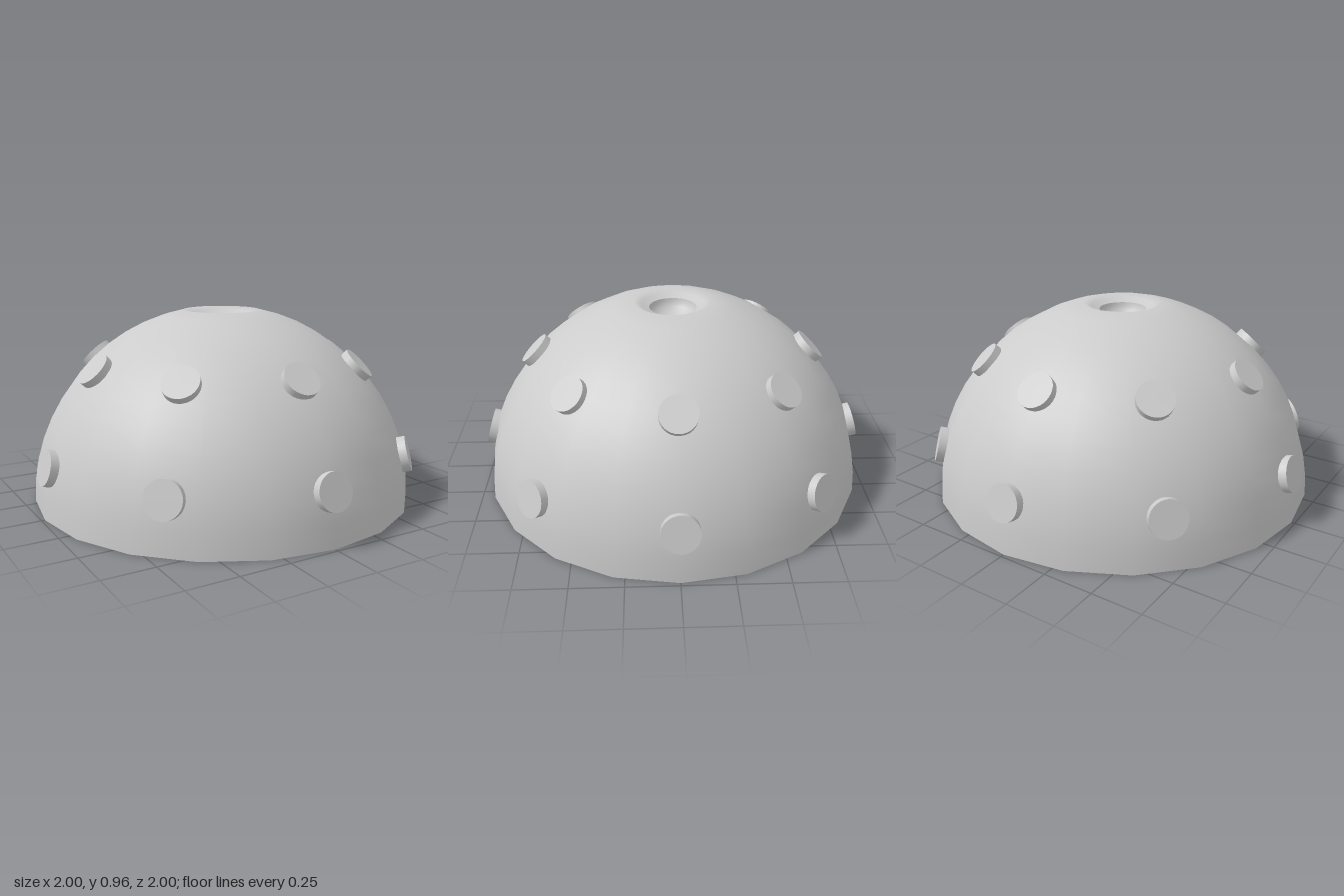
import * as THREE from 'three';

const R = 0.983;      // dome radius
const SIDES = 20;

export function createModel() {
  const model = new THREE.Group();
  const shell = new THREE.MeshStandardMaterial({ color: 0xcccccc, side: THREE.DoubleSide });
  const solid = new THREE.MeshStandardMaterial({ color: 0xcccccc });

  // Open hemisphere whose top dips into a shallow rim
  const profile = [];
  const top = THREE.MathUtils.degToRad(78.5);
  for (let i = 0; i <= 12; i++) {
    const a = (top * i) / 12;
    profile.push(new THREE.Vector2(R * Math.cos(a), R * Math.sin(a)));
  }
  profile.push(new THREE.Vector2(0.16, 0.945), new THREE.Vector2(0.12, 0.93));
  const dome = new THREE.Mesh(new THREE.LatheGeometry(profile, SIDES), shell);
  dome.name = 'dome';
  model.add(dome);

  // Concave bowl in the middle of the rim
  const bowlProfile = [];
  for (let i = 0; i <= 6; i++) {
    const a = (Math.PI / 2) * (i / 6);
    bowlProfile.push(new THREE.Vector2(0.12 * Math.cos(a), 0.93 - 0.08 * Math.sin(a)));
  }
  const bowl = new THREE.Mesh(new THREE.LatheGeometry(bowlProfile, 32), shell);
  bowl.name = 'topBowl';
  model.add(bowl);

  // Two rows of round studs that pass radially through the shell
  const length = 0.18, outer = 1.01;
  const studGeometry = new THREE.CylinderGeometry(0.09, 0.09, length, 32);
  const up = new THREE.Vector3(0, 1, 0);
  for (const [row, degrees] of [['lowerStud', 15], ['upperStud', 45]]) {
    const elevation = THREE.MathUtils.degToRad(degrees);
    for (let i = 0; i < 8; i++) {
      const direction = new THREE.Vector3().setFromSphericalCoords(
        1, Math.PI / 2 - elevation, (i * Math.PI) / 4);
      const stud = new THREE.Mesh(studGeometry, solid);
      stud.name = row;
      stud.position.copy(direction).multiplyScalar(outer - length / 2);
      stud.quaternion.setFromUnitVectors(up, direction);
      model.add(stud);
    }
  }
  return model;
}
